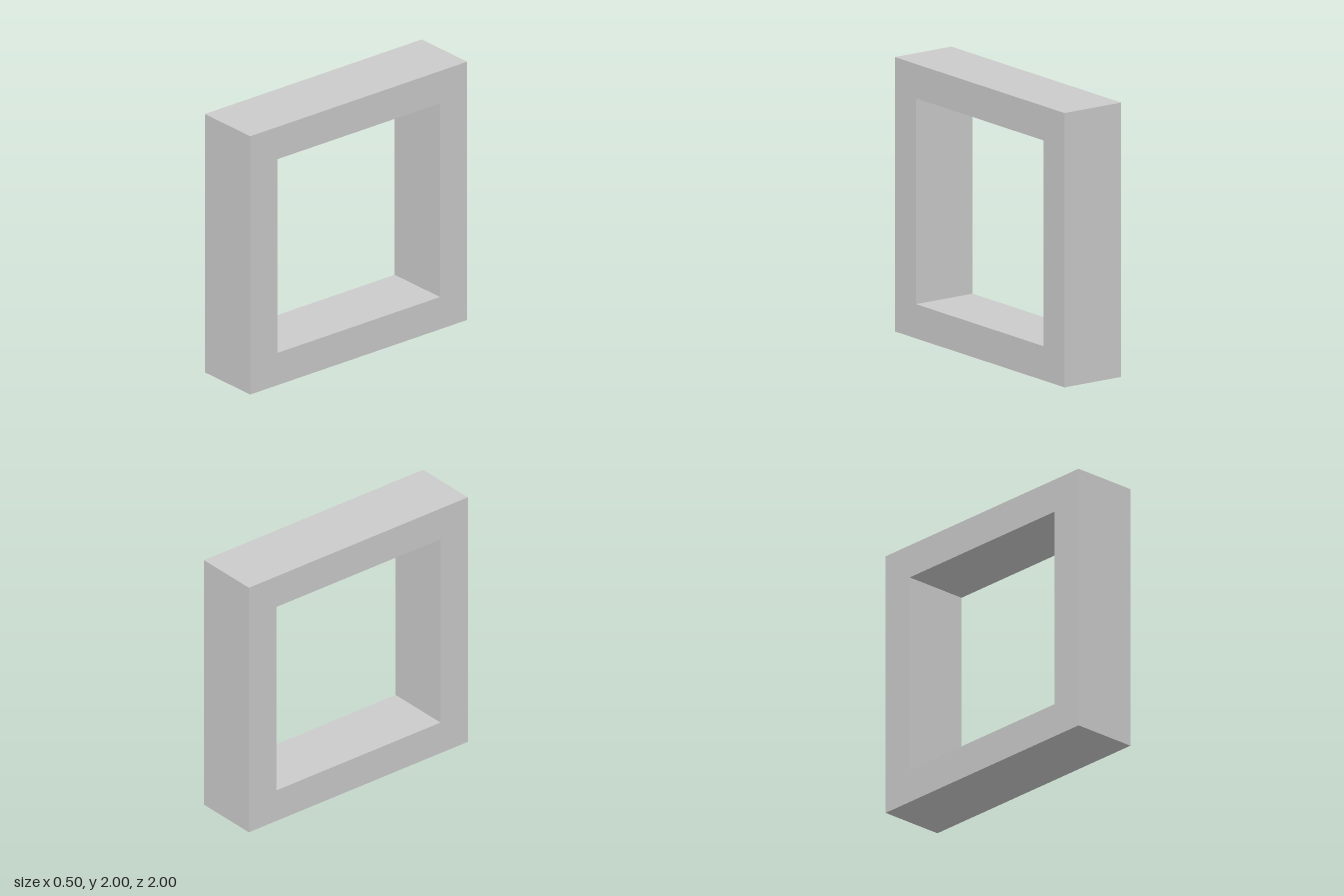
import * as THREE from 'three';

const SIZE = 2, BORDER = 0.25, DEPTH = 0.5;

// Traces a square of the given half width, centred on the origin
function traceSquare(path, h) {
  path.moveTo(-h, -h);
  path.lineTo(h, -h);
  path.lineTo(h, h);
  path.lineTo(-h, h);
  path.closePath();
  return path;
}

export function createModel() {
  const group = new THREE.Group();
  group.name = 'squareFrame';

  // Square outline with a square opening, extruded across x
  const outline = traceSquare(new THREE.Shape(), SIZE / 2);
  outline.holes.push(traceSquare(new THREE.Path(), SIZE / 2 - BORDER));
  const geometry = new THREE.ExtrudeGeometry(outline, { depth: DEPTH, bevelEnabled: false });
  geometry.translate(0, 0, -DEPTH / 2);
  geometry.rotateY(Math.PI / 2);
  geometry.translate(0, SIZE / 2, 0);

  const frame = new THREE.Mesh(geometry, new THREE.MeshStandardMaterial({ color: 0xcccccc }));
  frame.name = 'frame';
  group.add(frame);
  return group;
}
